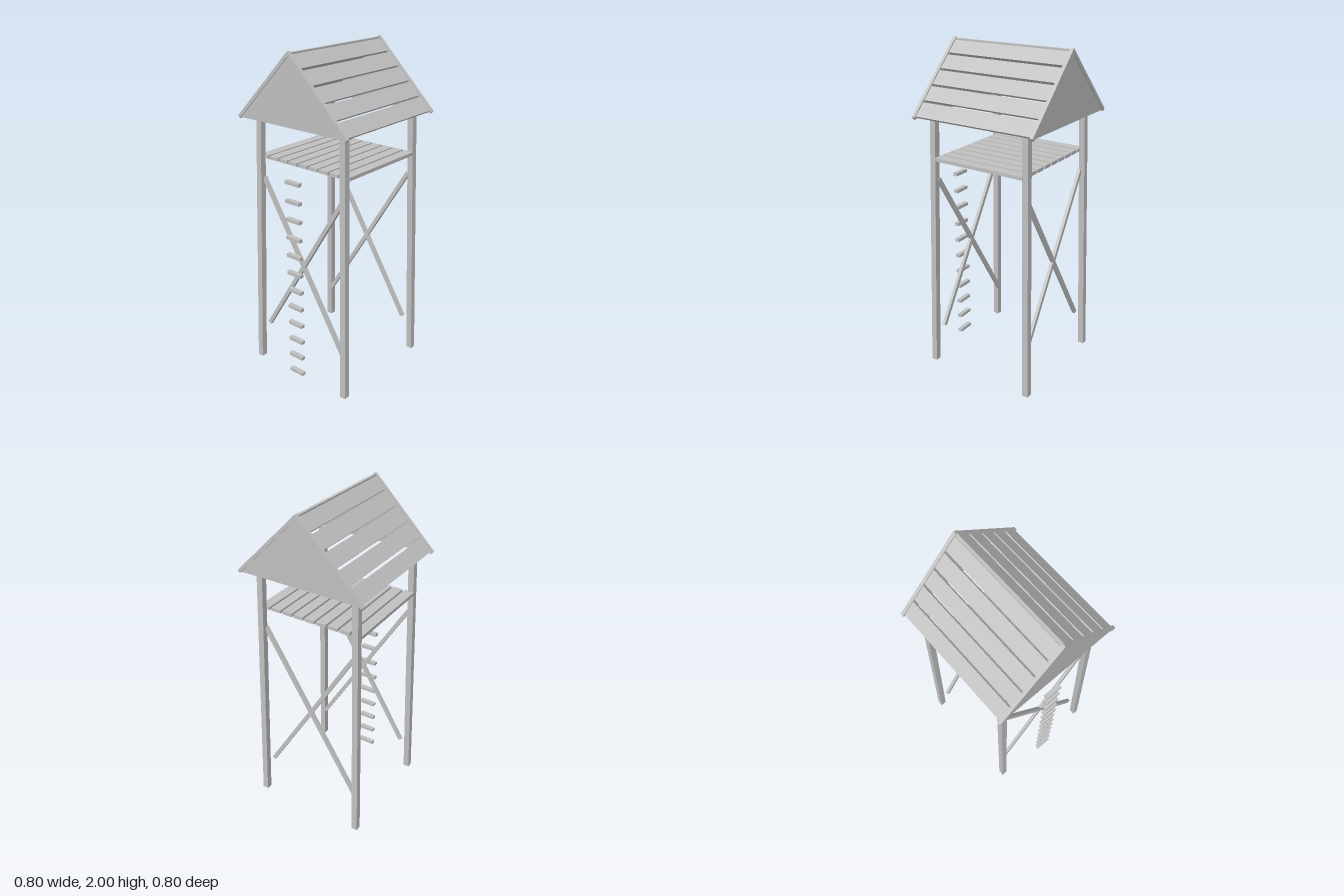
import * as THREE from 'three';

export function createModel() {
  const model = new THREE.Group();
  const wood = new THREE.MeshStandardMaterial({ color: 0xc0c0c0 });
  wood.name = 'greyWood';

  const add = (name, geometry, x = 0, y = 0, z = 0) => {
    const mesh = new THREE.Mesh(geometry, wood);
    mesh.name = name;
    mesh.position.set(x, y, z);
    model.add(mesh);
    return mesh;
  };

  // Outline in x and y, given depth along z and centred on z = 0
  const slab = (points, depth) => {
    const shape = new THREE.Shape(points.map(([x, y]) => new THREE.Vector2(x, y)));
    return new THREE.ExtrudeGeometry(shape, { depth, bevelEnabled: false }).translate(0, 0, -depth / 2);
  };

  // Four legs leaning inwards, with level ends
  const legHeight = 1.64, footOut = 0.347, topOut = 0.307;
  for (const sx of [-1, 1]) for (const sz of [-1, 1]) {
    const leg = new THREE.BoxGeometry(0.037, legHeight, 0.037).translate(0, legHeight / 2, 0);
    const p = leg.attributes.position;
    for (let i = 0; i < p.count; i++) {
      const out = THREE.MathUtils.lerp(footOut, topOut, p.getY(i) / legHeight);
      p.setX(i, p.getX(i) + sx * out);
      p.setZ(i, p.getZ(i) + sz * out);
    }
    leg.computeVertexNormals();
    add('leg', leg);
  }

  // Crossed braces on the front and back
  const rise = 0.99, run = 0.605;
  for (const z of [-0.304, 0.304]) for (const s of [-1, 1]) {
    const brace = add('brace', new THREE.BoxGeometry(0.024, Math.hypot(rise, run), 0.02), 0, 0.735, z);
    brace.rotation.z = s * Math.atan2(run, rise);
  }

  // Floor planks with gaps
  for (let i = -4; i <= 4; i++) {
    add('floorPlank', new THREE.BoxGeometry(0.063, 0.02, 0.6), i * 0.0757, 1.355, 0);
  }

  // Ladder rungs
  for (let i = 0; i < 12; i++) {
    add('ladderRung', new THREE.BoxGeometry(0.103, 0.02, 0.028), 0, 0.043 + i * 0.1124, 0.38);
  }

  // Roof board on a 45 degree slope: outer face on x + y = top, square ends
  const roofBoard = (side, x0, x1, top, drop, depth) => {
    const points = [[x0, top - x0], [x0 - drop, top - x0 - drop], [x1 - drop, top - x1 - drop], [x1, top - x1]];
    return slab(points.map(([x, y]) => [side * x, y]), depth);
  };
  for (const side of [-1, 1]) {
    for (let i = 0; i < 5; i++) {
      add('roofPlank', roofBoard(side, 0.078 * i + 0.005, 0.078 * i + 0.073, 1.991, 0.011, 0.758));
    }
    // Trim boards along the sloping gable edges
    for (const z of [-0.389, 0.389]) {
      add('gableTrim', roofBoard(side, 0, 0.398, 2, 0.014, 0.02), 0, 0, z);
    }
  }

  // Ridge strip
  add('ridge', new THREE.BoxGeometry(0.018, 0.016, 0.78), 0, 1.984, 0);

  // Gable walls
  for (const z of [-0.387, 0.387]) {
    add('gableWall', slab([[-0.385, 1.595], [0.385, 1.595], [0, 1.98]], 0.012), 0, 0, z);
  }

  return model;
}
